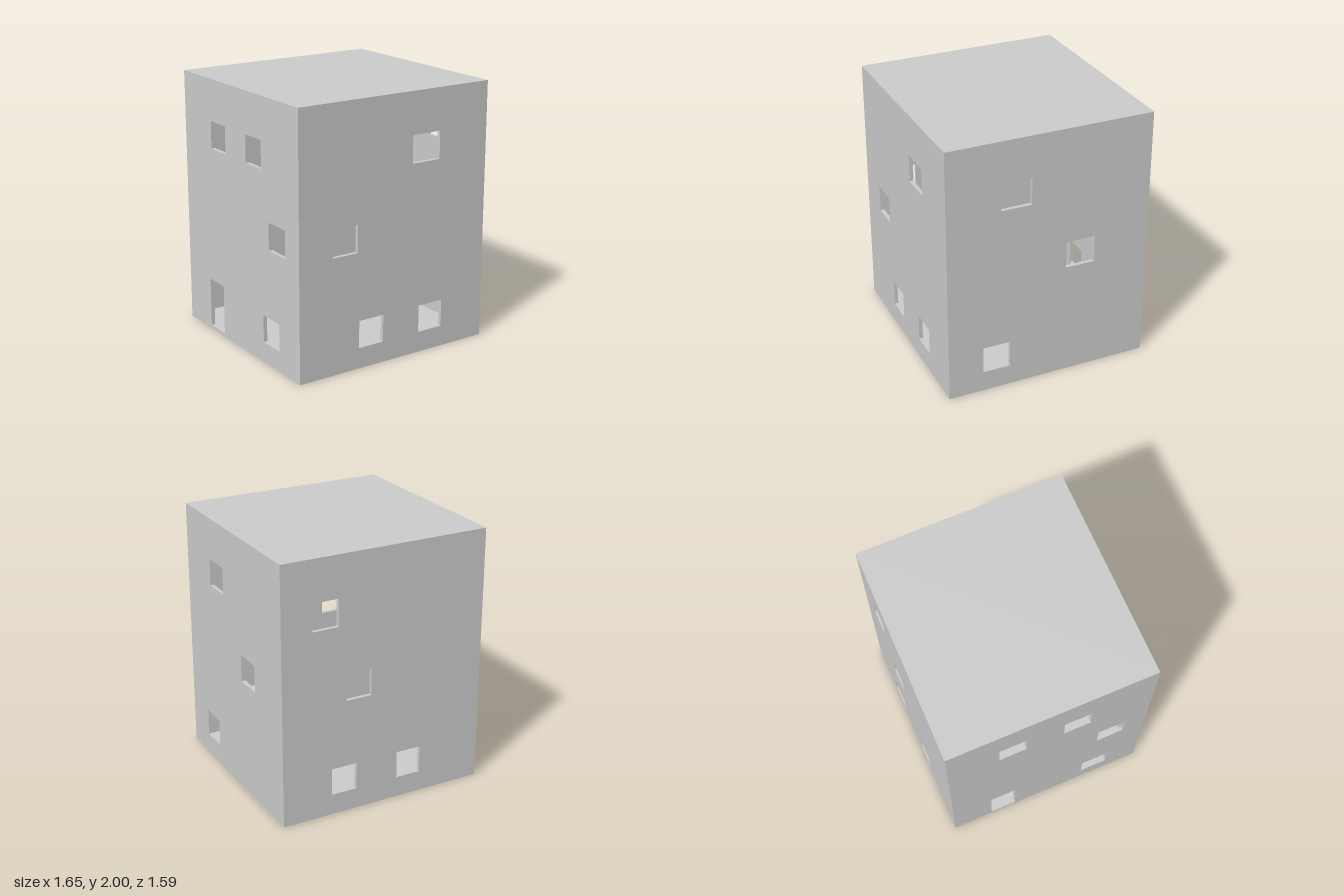
import * as THREE from 'three';

const W = 1.65, H = 2, D = 1.59, T = 0.03; // outer size and wall thickness

// Window rows: [bottom, top]
const LOW = [0.16, 0.37], MID = [0.89, 1.1], HIGH = [1.47, 1.68];

// Slab with openings, outer face at local z = 0; its inner rim is pulled in to mitre the corners
function panelGeometry(w, h, openings) {
  const rect = (path, x0, x1, y0, y1) =>
    path.moveTo(x0, y0).lineTo(x1, y0).lineTo(x1, y1).lineTo(x0, y1).closePath();
  const shape = new THREE.Shape();
  rect(shape, -w / 2, w / 2, -h / 2, h / 2);
  for (const [x0, x1, [y0, y1]] of openings) {
    const hole = new THREE.Path();
    rect(hole, x0, x1, y0 - h / 2, y1 - h / 2);
    shape.holes.push(hole);
  }
  const geo = new THREE.ExtrudeGeometry(shape, { depth: T, bevelEnabled: false });
  geo.translate(0, 0, -T);
  const p = geo.attributes.position;
  for (let i = 0; i < p.count; i++) {
    if (p.getZ(i) > -T / 2) continue;
    const x = p.getX(i), y = p.getY(i);
    if (Math.abs(x) > w / 2 - 1e-4) p.setX(i, x - Math.sign(x) * T);
    if (Math.abs(y) > h / 2 - 1e-4) p.setY(i, y - Math.sign(y) * T);
  }
  geo.computeVertexNormals();
  return geo;
}

export function createModel() {
  const house = new THREE.Group();
  house.name = 'house';
  const material = new THREE.MeshStandardMaterial({ color: 0xcccccc, flatShading: true });

  function panel(name, w, h, openings, rotation, position) {
    const mesh = new THREE.Mesh(panelGeometry(w, h, openings), material);
    mesh.name = name;
    mesh.rotation.set(...rotation);
    mesh.position.set(...position);
    house.add(mesh);
  }

  // Walls; openings run left to right as seen from outside
  panel('frontWall', W, H, [
    [0.145, 0.39, HIGH], [-0.55, -0.33, MID], [-0.315, -0.1, LOW], [0.225, 0.44, LOW],
  ], [0, 0, 0], [0, H / 2, D / 2]);

  panel('backWall', W, H, [
    [-0.585, -0.378, HIGH], [-0.315, -0.11, MID], [-0.43, -0.225, LOW], [0.115, 0.315, LOW],
  ], [0, Math.PI, 0], [0, H / 2, -D / 2]);

  panel('leftWall', D, H, [
    [-0.38, -0.147, HIGH], [0.133, 0.36, MID], [-0.525, -0.31, LOW],
  ], [0, Math.PI / 2, 0], [W / 2, H / 2, 0]);

  // Entrance side, with a doorway reaching down to the floor
  panel('rightWallWithDoorway', D, H, [
    [-0.4, -0.19, HIGH], [0.1, 0.31, HIGH], [0.4, 0.615, MID], [0.31, 0.525, LOW],
    [-0.475, -0.27, [T, 0.415]],
  ], [0, -Math.PI / 2, 0], [-W / 2, H / 2, 0]);

  // Flat roof and floor
  panel('roof', W, D, [], [-Math.PI / 2, 0, 0], [0, H, 0]);
  panel('floor', W, D, [], [Math.PI / 2, 0, 0], [0, 0, 0]);

  return house;
}
